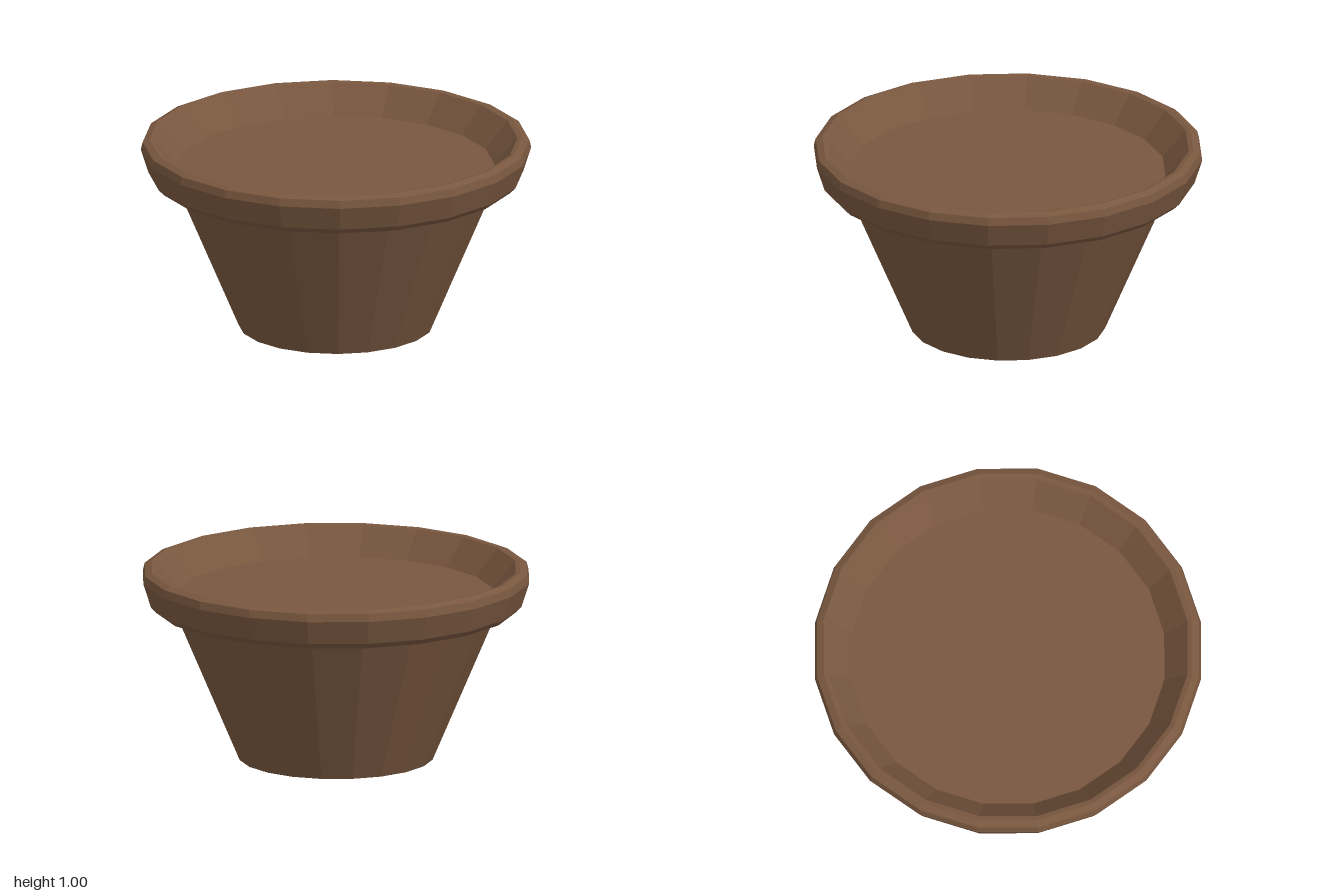
import * as THREE from 'three';

const SIDES = 20;

export function createModel() {
  const clay = new THREE.MeshStandardMaterial({ color: 0x79573f, flatShading: true });
  clay.name = 'brown clay';
  const model = new THREE.Group();
  model.name = 'flowerPot';

  // Turn a profile of [radius, height] pairs into a faceted ring
  const turn = (name, profile) => {
    const points = profile.map(([r, y]) => new THREE.Vector2(r, y));
    const mesh = new THREE.Mesh(new THREE.LatheGeometry(points, SIDES), clay);
    mesh.name = name;
    model.add(mesh);
  };

  // Tapered body with closed base
  turn('body', [[0, 0], [0.5, 0], [0.83, 0.78]]);

  // Bevelled rim: underside, flared outside, top edge and sloping inside
  turn('rim', [
    [0.83, 0.78], [0.89, 0.78], [0.93, 0.79], [0.96, 0.82],
    [1, 0.945], [0.99, 0.985], [0.955, 1], [0.93, 0.995], [0.81, 0.855],
  ]);

  // Flat soil surface inside the rim
  turn('soil', [[0.81, 0.855], [0, 0.855]]);

  return model;
}
